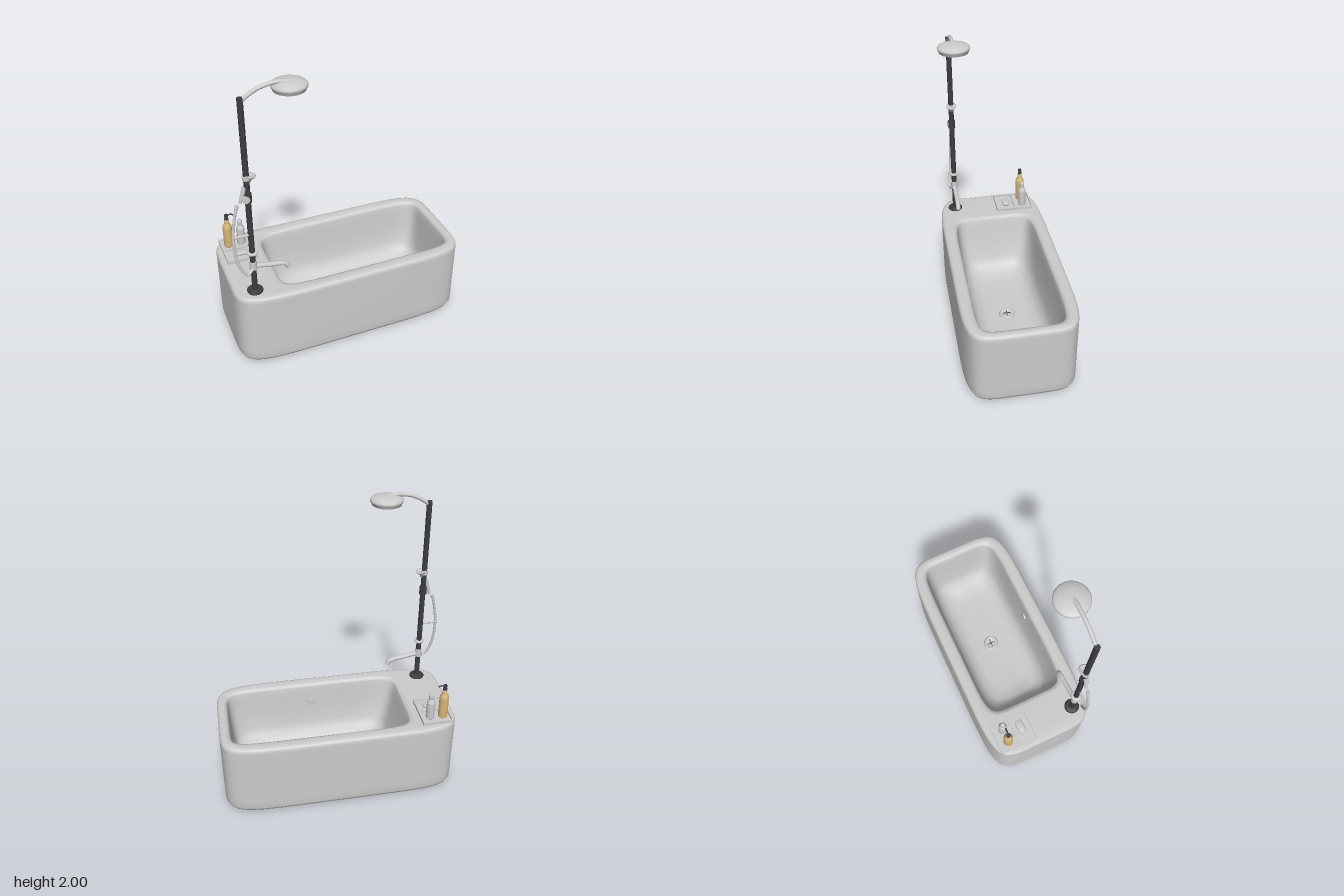
import * as THREE from 'three';

const V = (x, y, z) => new THREE.Vector3(x, y, z);
const mat = (color) => new THREE.MeshStandardMaterial({ color, side: THREE.DoubleSide });
const grey = mat(0xcccccc), dark = mat(0x3c3d42), gold = mat(0xd8b573);

function add(parent, name, geo, material, x = 0, y = 0, z = 0) {
  const m = new THREE.Mesh(geo, material);
  m.name = name;
  m.position.set(x, y, z);
  parent.add(m);
  return m;
}
const cyl = (rt, rb, h, n = 24) => new THREE.CylinderGeometry(rt, rb, h, n);
const lathe = (pts, n = 28) => new THREE.LatheGeometry(pts.map(([r, y]) => new THREE.Vector2(r, y)), n);
const tube = (pts, r, n = 40) =>
  new THREE.TubeGeometry(new THREE.CatmullRomCurve3(pts.map((p) => V(...p))), n, r, 12);

// Closed skin through superellipse rings: [centreX, halfX, halfZ, y, exponent]
function loft(rings, n = 96) {
  const pos = [], idx = [];
  for (const [cx, hx, hz, y, e] of rings) {
    for (let j = 0; j < n; j++) {
      const a = (j / n) * Math.PI * 2, c = Math.cos(a), s = Math.sin(a);
      pos.push(cx + hx * Math.sign(c) * Math.abs(c) ** (2 / e), y, hz * Math.sign(s) * Math.abs(s) ** (2 / e));
    }
  }
  for (let i = 0; i < rings.length - 1; i++) {
    for (let j = 0; j < n; j++) {
      const a = i * n + j, b = i * n + ((j + 1) % n);
      idx.push(a, a + n, b, a + n, b + n, b);
    }
  }
  const g = new THREE.BufferGeometry();
  g.setAttribute('position', new THREE.Float32BufferAttribute(pos, 3));
  g.setIndex(idx);
  g.computeVertexNormals();
  return g;
}

function makeTub() {
  const tub = new THREE.Group();
  tub.name = 'bathtub';
  add(tub, 'tubShell', loft([
    // underside and outer wall
    [0, 0.001, 0.001, 0, 6], [0, 0.74, 0.33, 0, 6], [0, 0.775, 0.35, 0.004, 6.5],
    [0, 0.805, 0.375, 0.018, 6.5], [0, 0.814, 0.384, 0.04, 6.5], [0, 0.815, 0.385, 0.1, 6.5],
    [0, 0.815, 0.385, 0.52, 6.5], [0, 0.814, 0.384, 0.54, 6.5], [0, 0.808, 0.378, 0.553, 6.5],
    // rim
    [0, 0.795, 0.365, 0.559, 6.5], [0.03, 0.75, 0.345, 0.56, 6.5], [0.12, 0.645, 0.315, 0.559, 8],
    [0.125, 0.625, 0.298, 0.552, 8], [0.125, 0.616, 0.29, 0.535, 8],
    // basin
    [0.128, 0.608, 0.286, 0.48, 8], [0.135, 0.59, 0.278, 0.36, 7], [0.145, 0.565, 0.262, 0.24, 6],
    [0.15, 0.54, 0.24, 0.18, 5.5], [0.15, 0.49, 0.2, 0.14, 5], [0.14, 0.38, 0.15, 0.125, 4],
    [0.12, 0.2, 0.08, 0.12, 3], [0.12, 0.001, 0.001, 0.12, 2],
  ]), grey);

  // drain with a cross in the middle
  add(tub, 'drainPlate', lathe([[0, 0.006], [0.034, 0.006], [0.04, 0.014], [0.05, 0.014], [0.056, 0.004], [0.056, -0.01]]),
    grey, 0.12, 0.122, 0);
  for (const a of [0, Math.PI / 2]) {
    add(tub, 'drainCross', new THREE.BoxGeometry(0.06, 0.006, 0.004), dark, 0.12, 0.129, 0).rotation.y = a;
  }
  // overflow cap on the long wall
  add(tub, 'overflowCap', cyl(0.022, 0.026, 0.014), grey, 0.12, 0.41, 0.279).rotation.x = -Math.PI / 2;
  return tub;
}

function makeShower() {
  const s = new THREE.Group();
  s.name = 'showerColumn';
  s.position.set(-0.675, 0, 0.262);
  add(s, 'columnBase', lathe([[0, 0.555], [0.052, 0.555], [0.052, 0.568], [0.044, 0.576], [0.018, 0.578]]), dark);
  add(s, 'column', cyl(0.018, 0.018, 1.37), dark, 0, 1.245, 0);

  // overhead shower
  add(s, 'showerArm', tube([[0, 1.905, 0], [0.04, 1.935, 0], [0.1, 1.967, 0], [0.17, 1.985, 0],
    [0.24, 1.987, 0], [0.285, 1.978, 0]], 0.013), grey);
  add(s, 'showerHead', lathe([[0, 1.938], [0.088, 1.938], [0.092, 1.931], [0.097, 1.931], [0.099, 1.947],
    [0.106, 1.95], [0.107, 1.962], [0.098, 1.972], [0.07, 1.983], [0.035, 1.989], [0, 1.991]], 40), grey, 0.287, 0, -0.005);

  // cup shaped hand shower rest
  const cup = add(s, 'handShowerRest', lathe([[0, -0.032], [0.013, -0.03], [0.016, -0.012], [0.034, 0.008],
    [0.036, 0.016], [0.028, 0.016], [0, 0.006]]), grey, 0.02, 1.418, 0);
  cup.rotation.z = -0.25;
  add(s, 'restCollar', cyl(0.024, 0.024, 0.028), grey, 0, 1.42, 0);

  // tilted slider holding the hose end
  add(s, 'sliderCollar', cyl(0.025, 0.025, 0.055), dark, 0, 1.28, 0);
  add(s, 'sliderHolder', cyl(0.015, 0.01, 0.11), grey, -0.032, 1.305, 0).rotation.z = -0.3;
  add(s, 'sliderKnob', cyl(0.024, 0.024, 0.02), grey, -0.016, 1.28, 0.02).rotation.x = Math.PI / 2;

  // hand shower wand and hose, with its bracket
  add(s, 'hose', tube([[-0.073, 1.235, 0], [-0.098, 1.12, 0.004], [-0.112, 1.01, 0.008], [-0.107, 0.87, 0.015],
    [-0.08, 0.77, 0.026], [-0.045, 0.725, 0.03], [-0.018, 0.742, 0.02], [0, 0.775, 0.008]], 0.0095, 56), grey);
  add(s, 'hoseEnd', cyl(0.012, 0.01, 0.03, 16), grey, -0.072, 1.225, 0).rotation.z = -0.22;
  add(s, 'hoseBracket', cyl(0.008, 0.008, 0.11, 12), grey, -0.055, 1.012, 0.004).rotation.z = Math.PI / 2;

  // mixer ring, body and bath spout
  add(s, 'mixerRing', lathe([[0.016, 0.862], [0.033, 0.862], [0.037, 0.868], [0.033, 0.876], [0.016, 0.876]]), grey);
  add(s, 'mixerCollar', cyl(0.024, 0.024, 0.06), grey, 0, 0.77, 0);
  add(s, 'bathSpout', tube([[0, 0.765, 0], [0.06, 0.752, 0], [0.14, 0.737, 0], [0.195, 0.728, 0],
    [0.218, 0.715, 0], [0.232, 0.69, 0]], 0.016), grey);
  return s;
}

function makeTray() {
  const t = new THREE.Group();
  t.name = 'toiletryTray';
  t.position.set(-0.665, 0.56, -0.19);
  // frame with two wells
  const rect = (S, x0, x1, z0, z1) => new S([[x0, z0], [x1, z0], [x1, z1], [x0, z1]].map((p) => new THREE.Vector2(...p)));
  const frame = rect(THREE.Shape, -0.106, 0.106, -0.138, 0.138);
  for (const [a, b] of [[-0.128, -0.004], [0.004, 0.128]]) frame.holes.push(rect(THREE.Path, -0.096, 0.096, a, b));
  const g = new THREE.ExtrudeGeometry(frame, { depth: 0.02, bevelEnabled: false });
  g.rotateX(-Math.PI / 2);
  add(t, 'trayFrame', g, grey);
  add(t, 'trayFloor', new THREE.BoxGeometry(0.2, 0.008, 0.265), grey, 0, 0.004, 0);
  // soap bar
  add(t, 'soapBar', loft([[0, 0.001, 0.001, 0.008, 5], [0, 0.04, 0.021, 0.008, 5], [0, 0.046, 0.026, 0.015, 5],
    [0, 0.046, 0.026, 0.023, 5], [0, 0.041, 0.022, 0.029, 5], [0, 0.001, 0.001, 0.03, 5]], 40), grey, 0.01, 0, 0.06);

  // tall pump bottle
  const pump = new THREE.Group();
  pump.name = 'pumpBottle';
  pump.position.set(-0.048, 0.008, -0.063);
  add(pump, 'bottleBody', lathe([[0, 0], [0.029, 0], [0.032, 0.006], [0.032, 0.155], [0.029, 0.172], [0.018, 0.19],
    [0.016, 0.197], [0.016, 0.222], [0, 0.224]]), gold);
  add(pump, 'pumpCollar', cyl(0.014, 0.014, 0.014), dark, 0, 0.23, 0);
  add(pump, 'pumpStem', cyl(0.006, 0.006, 0.02, 12), dark, 0, 0.244, 0);
  add(pump, 'pumpHead', cyl(0.011, 0.013, 0.016, 16), dark, 0, 0.255, 0);
  add(pump, 'pumpNozzle', tube([[0, 0.257, 0], [0.03, 0.257, 0], [0.048, 0.25, 0]], 0.005, 12), dark);
  t.add(pump);

  // short capped bottle
  add(t, 'cappedBottle', lathe([[0, 0], [0.026, 0], [0.029, 0.005], [0.029, 0.118], [0.026, 0.135], [0.014, 0.152],
    [0.012, 0.158], [0.017, 0.16], [0.017, 0.188], [0.011, 0.197], [0, 0.198]]), grey, 0.042, 0.008, -0.063);
  return t;
}

export function createModel() {
  const model = new THREE.Group();
  model.name = 'bathtubWithShower';
  model.add(makeTub(), makeShower(), makeTray());
  return model;
}
